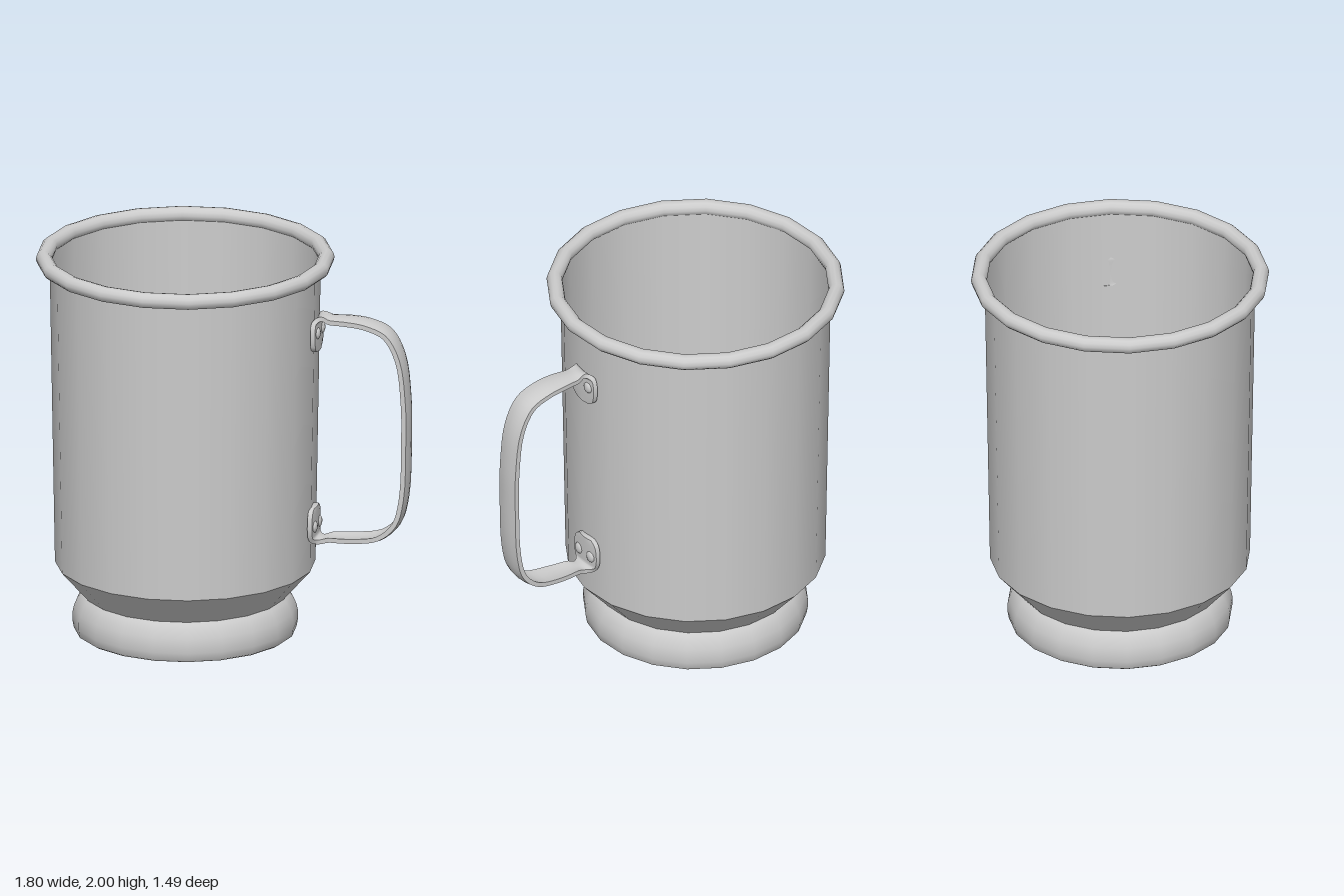
import * as THREE from 'three';
import { toCreasedNormals } from 'three/addons/utils/BufferGeometryUtils.js';

const SIDES = 20;
const HANDLE_ANGLE = THREE.MathUtils.degToRad(27.5);
const metal = new THREE.MeshStandardMaterial({ color: 0xcccccc });
const sheet = new THREE.MeshStandardMaterial({ color: 0xcccccc, side: THREE.DoubleSide });

// Revolves a bottom-to-top [radius, y] profile
function lathe(name, profile, material = sheet) {
  const points = profile.map(([r, y]) => new THREE.Vector2(r, y));
  const geometry = new THREE.LatheGeometry(points, SIDES, THREE.MathUtils.degToRad(6));
  const mesh = new THREE.Mesh(geometry, material);
  mesh.name = name;
  return mesh;
}

// Sweeps a thin bowed strip along a path of [distance out, height, half width]
function strapGeometry(path, steps, halfThickness) {
  const curve = new THREE.CatmullRomCurve3(path.map((p) => new THREE.Vector3(...p)), false, 'centripetal');
  const across = [-1, -0.5, 0, 0.5, 1];
  const ring = across.length * 2;
  const positions = [];
  const index = [];
  for (let i = 0; i <= steps; i++) {
    const p = curve.getPoint(i / steps);
    const t = curve.getTangent(i / steps);
    const len = Math.hypot(t.x, t.y);
    const nx = -t.y / len;
    const ny = t.x / len;
    // Pads hug the wall, the grip bows outward
    const bow = THREE.MathUtils.lerp(0.007, -0.01, THREE.MathUtils.smoothstep(p.x, 0.69, 0.76));
    for (const side of [1, -1]) {
      for (const a of across) {
        const s = a * side;
        const offset = bow * s * s + side * halfThickness;
        positions.push(p.x + nx * offset, p.y + ny * offset, s * p.z);
      }
    }
    if (i === steps) continue;
    for (let j = 0; j < ring; j++) {
      const k = (j + 1) % ring;
      const a = i * ring + j;
      const b = i * ring + k;
      index.push(a, b, b + ring, a, b + ring, a + ring);
    }
  }
  // End caps
  const last = steps * ring;
  for (let j = 1; j < ring - 1; j++) {
    index.push(0, j + 1, j, last, last + j, last + j + 1);
  }
  const geometry = new THREE.BufferGeometry();
  geometry.setAttribute('position', new THREE.Float32BufferAttribute(positions, 3));
  geometry.setIndex(index);
  return toCreasedNormals(geometry, 0.8);
}

function createHandle() {
  const handle = new THREE.Group();
  handle.name = 'handle';
  const path = [
    // Upper pad
    [0.687, 1.53, 0.05], [0.687, 1.55, 0.08], [0.688, 1.59, 0.094], [0.688, 1.65, 0.094],
    [0.69, 1.685, 0.08], [0.715, 1.703, 0.05],
    // Grip
    [0.76, 1.7, 0.055], [0.85, 1.7, 0.065], [0.94, 1.69, 0.068], [1.05, 1.645, 0.068],
    [1.12, 1.52, 0.068], [1.15, 1.3, 0.068], [1.153, 1.1, 0.068], [1.14, 0.78, 0.068],
    [1.1, 0.64, 0.068], [1.01, 0.56, 0.068], [0.87, 0.535, 0.065], [0.76, 0.53, 0.055],
    // Lower pad
    [0.705, 0.53, 0.05], [0.675, 0.545, 0.08], [0.672, 0.58, 0.094], [0.672, 0.64, 0.094],
    [0.672, 0.68, 0.08], [0.672, 0.7, 0.05],
  ];
  const strap = new THREE.Mesh(strapGeometry(path, 92, 0.012), metal);
  strap.name = 'handleStrap';
  handle.add(strap);

  // Two rivets on each pad
  const rivetGeometry = new THREE.SphereGeometry(0.03, 12, 8);
  for (const [out, y] of [[0.696, 1.63], [0.68, 0.605]]) {
    for (const side of [-1, 1]) {
      const rivet = new THREE.Mesh(rivetGeometry, metal);
      rivet.name = 'rivet';
      rivet.position.set(out, y, side * 0.05);
      rivet.scale.x = 0.5;
      handle.add(rivet);
    }
  }
  handle.rotation.y = HANDLE_ANGLE;
  return handle;
}

export function createModel() {
  const mug = new THREE.Group();
  mug.name = 'mug';

  // Hollow foot with a rolled lower lip
  const foot = lathe('foot', [
    [0.49, 0.025], [0.497, 0.008], [0.515, 0], [0.545, 0], [0.56, 0.01], [0.567, 0.05],
    [0.567, 0.09], [0.56, 0.125], [0.546, 0.16], [0.53, 0.185], [0.515, 0.2],
  ]);
  const shoulder = lathe('shoulder', [[0.515, 0.2], [0.655, 0.36]]);
  const wall = lathe('wall', [[0.655, 0.36], [0.682, 1.95]]);

  // Slightly domed floor
  const floorProfile = [];
  for (let i = 0; i <= 6; i++) {
    const a = (i / 6) * (Math.PI / 2);
    floorProfile.push([0.515 * Math.cos(a), 0.2 + 0.07 * Math.sin(a) ** 2]);
  }
  const floor = lathe('floor', floorProfile);

  // Rolled rim
  const rimProfile = [];
  for (let i = 0; i <= 12; i++) {
    const a = (i / 12) * Math.PI * 2 - Math.PI / 2;
    rimProfile.push([0.711 + 0.04 * Math.cos(a), 1.96 + 0.04 * Math.sin(a)]);
  }
  const rim = lathe('rim', rimProfile, metal);

  mug.add(foot, shoulder, wall, floor, rim, createHandle());
  mug.position.x = -0.16;

  const model = new THREE.Group();
  model.name = 'model';
  model.add(mug);
  return model;
}
